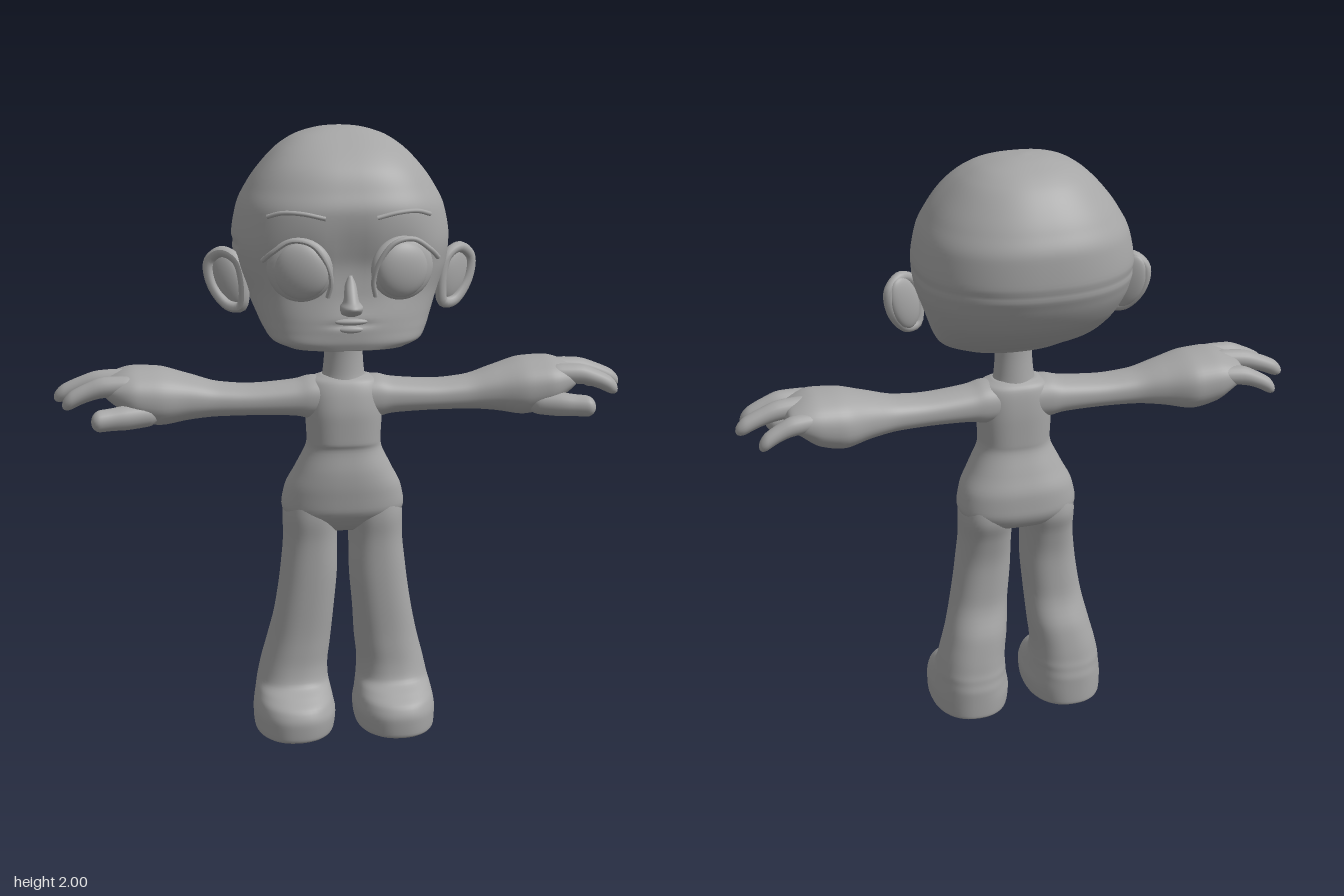
import * as THREE from 'three';

const skin = new THREE.MeshStandardMaterial({ color: 0xa6a6a6 });
skin.name = 'plain grey';

// Monotone interpolation of cross-section rows, so profiles never overshoot
function smoothRows(rows, steps) {
  const slope = (k, i) => {
    const d = j => rows[j + 1][k] - rows[j][k];
    if (i === 0) return d(0);
    if (i === rows.length - 1) return d(i - 1);
    const a = d(i - 1), b = d(i);
    return a * b <= 0 ? 0 : 2 * a * b / (a + b);
  };
  const out = [];
  for (let i = 0; i < rows.length - 1; i++) {
    for (let s = 0; s < steps; s++) {
      const t = s / steps, t2 = t * t, t3 = t2 * t;
      out.push(rows[i].map((v, k) => (2 * t3 - 3 * t2 + 1) * v + (t3 - 2 * t2 + t) * slope(k, i)
        + (3 * t2 - 2 * t3) * rows[i + 1][k] + (t3 - t2) * slope(k, i + 1)));
    }
  }
  out.push(rows[rows.length - 1]);
  return out;
}

// Skin superellipse sections. Axis y rows: [y, cx, cz, rx, rz]; axis x rows: [x, cz, cy, rz, ry]
function loft(axis, rows, { n = 2, nBack = n, sides = 40, steps = 5 } = {}) {
  const rings = smoothRows(rows, steps);
  const first = rings[0], last = rings[rings.length - 1];
  rings.unshift([first[0], first[1], first[2], 0, 0]);
  rings.push([last[0], last[1], last[2], 0, 0]);
  const pos = [], index = [];
  rings.forEach(([t, ca, cb, ra, rb], r) => {
    for (let j = 0; j < sides; j++) {
      const w = j / sides * Math.PI * 2, c = Math.cos(w), s = Math.sin(w);
      const e = 2 / (s < 0 ? nBack : n);
      const a = ca + ra * Math.sign(c) * Math.abs(c) ** e;
      const b = cb + rb * Math.sign(s) * Math.abs(s) ** e;
      if (axis === 'y') pos.push(a, t, b); else pos.push(t, b, a);
      if (r < rings.length - 1) {
        const p = r * sides + j, q = r * sides + (j + 1) % sides;
        index.push(p, p + sides, q, q, p + sides, q + sides);
      }
    }
  });
  const g = new THREE.BufferGeometry();
  g.setAttribute('position', new THREE.Float32BufferAttribute(pos, 3));
  g.setIndex(index);
  g.computeVertexNormals();
  return g;
}

function ellipsoid(x, y, z, rx, ry, rz, yaw = 0, roll = 0) {
  return new THREE.SphereGeometry(1, 32, 20).scale(rx, ry, rz).rotateZ(roll).rotateY(yaw).translate(x, y, z);
}

function tube(points, radius, closed = false) {
  const curve = new THREE.CatmullRomCurve3(points.map(p => new THREE.Vector3(...p)), closed);
  return new THREE.TubeGeometry(curve, 40, radius, 10, closed);
}

function mirrored(geometry) {
  const g = geometry.clone().scale(-1, 1, 1), ix = g.index.array;
  for (let i = 0; i < ix.length; i += 3) [ix[i], ix[i + 1]] = [ix[i + 1], ix[i]];
  g.computeVertexNormals();
  return g;
}

export function createModel() {
  const model = new THREE.Group();
  model.name = 'figure';
  const add = (name, g) => {
    const m = new THREE.Mesh(g, skin);
    m.name = name;
    model.add(m);
  };
  const pair = (name, g) => {
    add(name + 'Left', g);
    add(name + 'Right', mirrored(g));
  };

  // Head: broad skull with a flat jaw, shaped by eye sockets, brow and a shallow seam
  const head = loft('y', [
    [1.325, 0, 0.14, 0.19, 0.13], [1.345, 0, 0.128, 0.237, 0.147], [1.38, 0, 0.09, 0.262, 0.183],
    [1.42, 0, 0.052, 0.28, 0.218], [1.5, 0, 0, 0.312, 0.265], [1.58, 0, -0.02, 0.34, 0.293],
    [1.65, 0, -0.028, 0.349, 0.307], [1.75, 0, -0.027, 0.332, 0.303], [1.82, 0, -0.025, 0.298, 0.277],
    [1.88, 0, -0.022, 0.255, 0.243], [1.94, 0, -0.028, 0.195, 0.183], [1.975, 0, -0.032, 0.135, 0.122],
    [1.994, 0, -0.035, 0.065, 0.06], [2, 0, -0.035, 0.01, 0.01],
  ], { n: 2.7, nBack: 2.25, sides: 96, steps: 7 });
  const p = head.attributes.position;
  const bump = (d, w) => Math.exp(-((d / w) ** 2));
  for (let i = 0; i < p.count; i++) {
    const x = p.getX(i), y = p.getY(i), z = p.getZ(i), ax = Math.abs(x);
    if (z > 0.1) {
      const socket = bump(ax - 0.15, 0.09) * bump(y - 1.58, 0.085);
      const bridge = bump(x, 0.07) * bump(y - 1.6, 0.1);
      const muzzle = bump(x, 0.09) * bump(y - 1.4, 0.05);
      const mouth = bump(x, 0.06) * bump(y - 1.408, 0.01);
      p.setZ(i, z - 0.022 * socket - 0.025 * bridge + 0.008 * muzzle - 0.008 * mouth);
    } else {
      const k = 1 - 0.014 * bump(y - 1.635, 0.012);
      p.setXYZ(i, x * k, y, z * k);
    }
  }
  head.computeVertexNormals();
  add('head', head);

  // Face
  add('nose', loft('y', [
    [1.435, 0, 0.27, 0.012, 0.012], [1.445, 0, 0.275, 0.032, 0.03], [1.465, 0, 0.278, 0.036, 0.055],
    [1.485, 0, 0.272, 0.024, 0.042], [1.53, 0, 0.255, 0.018, 0.02], [1.56, 0, 0.25, 0.006, 0.006]]));
  add('upperLip', ellipsoid(0, 1.418, 0.272, 0.052, 0.011, 0.014));
  add('lowerLip', ellipsoid(0, 1.393, 0.272, 0.04, 0.012, 0.013));
  pair('eyelid', ellipsoid(0.16, 1.585, 0.268, 0.104, 0.1, 0.036, 0.25, 0.25));
  pair('eye', ellipsoid(0.157, 1.583, 0.284, 0.086, 0.088, 0.036, 0.25));
  pair('lashLine', tube([[0.275, 1.615, 0.262], [0.245, 1.645, 0.288], [0.19, 1.68, 0.305],
    [0.13, 1.67, 0.315], [0.085, 1.615, 0.312], [0.066, 1.55, 0.3], [0.075, 1.5, 0.285]], 0.008));
  pair('eyebrow', tube([[0.255, 1.745, 0.222], [0.21, 1.759, 0.248], [0.15, 1.757, 0.266],
    [0.08, 1.742, 0.275]], 0.007));

  // Ears: rolled rim around a thin dish, swept back
  const sweep = x => 0.075 - 0.6 * (x - 0.32);
  const rim = [[0.335, 1.58], [0.385, 1.61], [0.425, 1.575], [0.415, 1.5], [0.365, 1.437], [0.325, 1.44]];
  pair('earRim', tube(rim.map(([x, y]) => [x, y, sweep(x)]), 0.018, true));
  pair('earDish', ellipsoid(0.372, 1.525, 0.028, 0.055, 0.093, 0.022, 0.54, -0.35));

  // Neck and body
  add('neck', loft('y', [[1.17, 0, 0.085, 0.085, 0.07], [1.22, 0, 0.083, 0.068, 0.06],
    [1.3, 0, 0.085, 0.062, 0.054], [1.37, 0, 0.09, 0.07, 0.058]]));
  add('torso', loft('y', [
    [0.69, 0, 0.06, 0.09, 0.06], [0.72, 0, 0.052, 0.165, 0.1], [0.77, 0, 0.058, 0.202, 0.123],
    [0.83, 0, 0.063, 0.192, 0.124], [0.9, 0, 0.075, 0.158, 0.113], [0.975, 0, 0.083, 0.123, 0.095],
    [1.0, 0, 0.086, 0.12, 0.098], [1.08, 0, 0.086, 0.124, 0.098], [1.15, 0, 0.083, 0.125, 0.09],
    [1.195, 0, 0.08, 0.112, 0.075], [1.213, 0, 0.08, 0.07, 0.05],
  ], { n: 2.5, sides: 56 }));

  // Flared legs ending in rounded shoes
  pair('leg', loft('y', [
    [0.003, 0.172, 0.095, 0.115, 0.165], [0.018, 0.17, 0.096, 0.131, 0.185], [0.07, 0.168, 0.097, 0.136, 0.187],
    [0.11, 0.169, 0.09, 0.13, 0.18], [0.14, 0.169, 0.07, 0.124, 0.155], [0.17, 0.168, 0.048, 0.118, 0.128],
    [0.22, 0.163, 0.045, 0.112, 0.117], [0.3, 0.148, 0.05, 0.106, 0.107], [0.42, 0.13, 0.07, 0.098, 0.088],
    [0.55, 0.115, 0.073, 0.094, 0.087], [0.66, 0.109, 0.065, 0.089, 0.095],
    [0.74, 0.107, 0.058, 0.091, 0.108], [0.82, 0.1, 0.06, 0.085, 0.1],
  ], { n: 2.3, sides: 48 }));

  // Arms widening into the palms
  pair('arm', loft('x', [
    [0, 0.08, 1.135, 0.075, 0.07], [0.1, 0.078, 1.137, 0.08, 0.07], [0.16, 0.076, 1.136, 0.077, 0.058],
    [0.3, 0.072, 1.133, 0.074, 0.05], [0.4, 0.067, 1.136, 0.078, 0.054], [0.5, 0.058, 1.145, 0.1, 0.072],
    [0.6, 0.05, 1.15, 0.13, 0.092], [0.67, 0.05, 1.16, 0.132, 0.085], [0.73, 0.045, 1.175, 0.118, 0.055],
    [0.765, 0.04, 1.18, 0.095, 0.03], [0.775, 0.04, 1.18, 0.05, 0.012],
  ], { n: 2.3, sides: 48 }));

  // Fingers and thumb: [name, root x,y,z, tip x,y,z, radius, bow upward]
  const fingers = [
    ['littleFinger', 0.66, 1.18, -0.04, 0.872, 1.125, -0.062, 0.031, 0.025],
    ['middleFinger', 0.67, 1.205, 0.045, 0.932, 1.148, 0.03, 0.031, 0.022],
    ['indexFinger', 0.66, 1.195, 0.125, 0.905, 1.142, 0.122, 0.032, 0.026],
    ['thumb', 0.6, 1.11, 0.135, 0.815, 1.1, 0.188, 0.038, 0],
  ];
  for (const [name, x0, y0, z0, x1, y1, z1, r, bow] of fingers) {
    const profile = [[0, 0.6], [0.15, 1], [0.45, 1.05], [0.7, 0.95], [0.87, 0.92], [0.95, 0.7], [0.99, 0.35], [1, 0.05]];
    pair(name, loft('x', profile.map(([t, k]) => [
      x0 + (x1 - x0) * t, z0 + (z1 - z0) * t,
      y0 + (y1 - y0) * t + bow * Math.sin(Math.PI * t), r * k, r * k]), { sides: 20, steps: 4 }));
  }
  return model;
}
